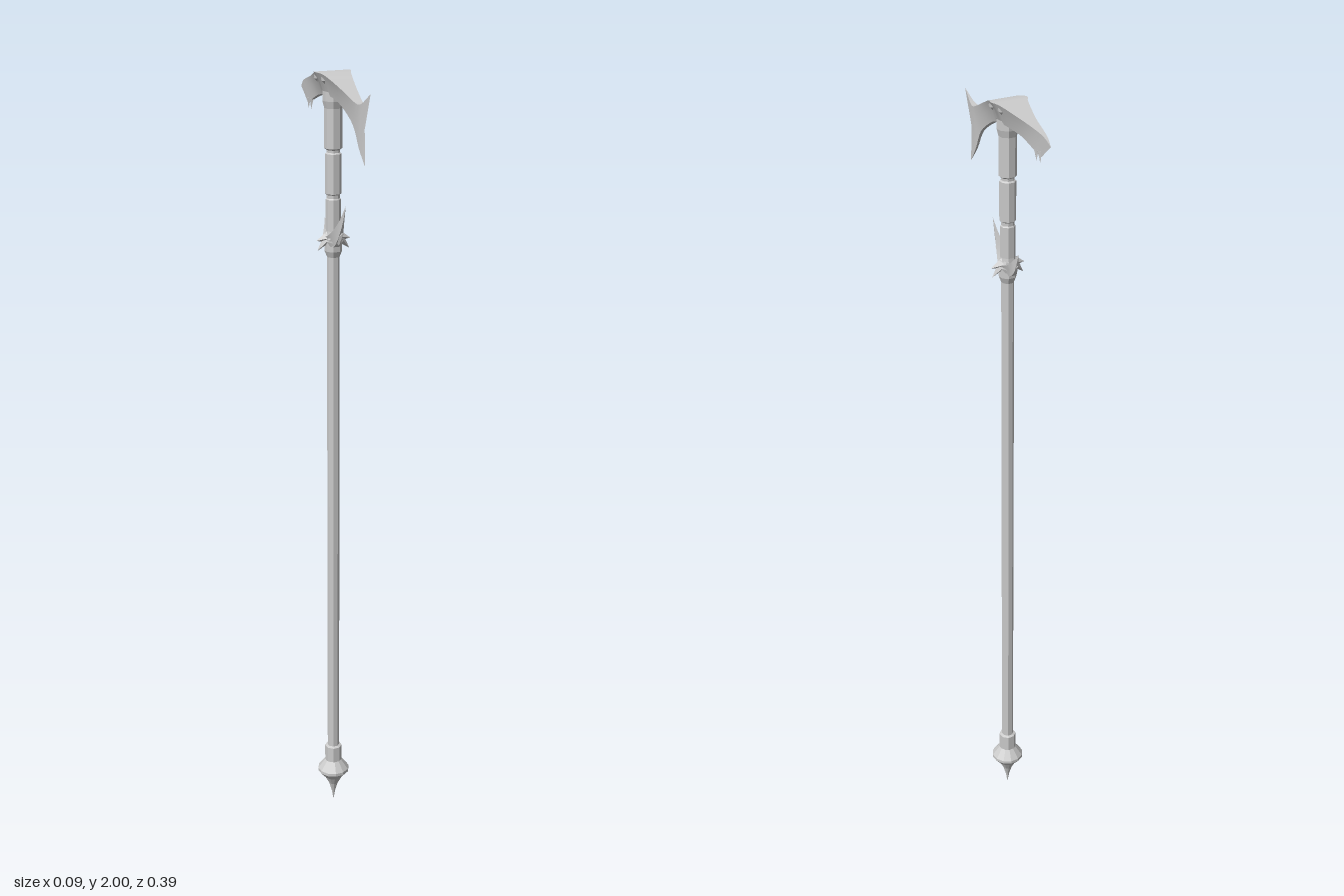
import * as THREE from 'three';
import { toCreasedNormals } from 'three/addons/utils/BufferGeometryUtils.js';

const flatMaterial = new THREE.MeshStandardMaterial({ color: 0xcccccc, flatShading: true, side: THREE.DoubleSide });
const smoothMaterial = new THREE.MeshStandardMaterial({ color: 0xcccccc, side: THREE.DoubleSide });
const AXIS_Z = -0.005; // the shaft stands slightly behind the middle of the head

function addMesh(parent, name, geometry, material = flatMaterial) {
  const mesh = new THREE.Mesh(geometry, material);
  mesh.name = name;
  parent.add(mesh);
  return mesh;
}

// Turned part from [flat-to-flat half width, height] pairs, bottom to top
function turned(points, sides = 8) {
  const k = 1 / Math.cos(Math.PI / sides);
  const profile = points.map(([r, y]) => new THREE.Vector2(r * k, y));
  return new THREE.LatheGeometry(profile, sides, Math.PI / sides).translate(0, 0, AXIS_Z);
}

// Four-sided spike from a base point to a tip, flattened across by the given factor
function spike(parent, name, base, tip, radius, flat = 1) {
  const from = new THREE.Vector3(...base), to = new THREE.Vector3(...tip);
  const dir = to.clone().sub(from);
  const geometry = new THREE.ConeGeometry(radius, dir.length(), 4);
  geometry.scale(flat, 1, 1);
  const mesh = addMesh(parent, name, geometry);
  mesh.position.copy(from).add(to).multiplyScalar(0.5);
  mesh.quaternion.setFromUnitVectors(new THREE.Vector3(0, 1, 0), dir.normalize());
}

// Smooth skin over sections running front to back: [topZ, topY, midZ, midY, bottomZ, bottomY, halfWidth]
function bladeGeometry(sections, steps) {
  const spline = new THREE.CubicInterpolant(sections.map((_, i) => i), sections.flat(), 7);
  const positions = [], index = [], n = 6, rows = (sections.length - 1) * steps;
  for (let s = 0; s <= rows; s++) {
    const [tz, ty, mz, my, bz, by, width] = spline.evaluate(s / steps);
    const w = Math.max(width, 0), wb = w * 0.42, wm = w * 0.66;
    positions.push(w, ty, tz, wm, my, mz, wb, by, bz, -wb, by, bz, -wm, my, mz, -w, ty, tz);
    if (s === rows) break;
    for (let i = 0; i < n; i++) {
      const a = s * n + i, b = s * n + (i + 1) % n;
      index.push(a, b, a + n, b, b + n, a + n);
    }
  }
  const geometry = new THREE.BufferGeometry();
  geometry.setAttribute('position', new THREE.Float32BufferAttribute(positions, 3));
  geometry.setIndex(index);
  return toCreasedNormals(geometry, 0.5);
}

export function createModel() {
  const model = new THREE.Group();
  model.name = 'poleWeapon';

  // Long shaft and pointed foot
  addMesh(model, 'shaft', turned([[0.0145, 0.13], [0.0145, 1.6]]));
  addMesh(model, 'footSpike', turned([
    [0, 0], [0.005, 0.03], [0.012, 0.055], [0.024, 0.078], [0.041, 0.098], [0.041, 0.106],
    [0.022, 0.132],
  ], 12));
  addMesh(model, 'footCollar', turned([[0.021, 0.13], [0.021, 0.175], [0.0145, 0.178]]));

  // Neck in three segments parted by grooves
  addMesh(model, 'neck', turned([
    [0.0145, 1.555], [0.02, 1.57], [0.02, 1.6], [0.017, 1.62], [0.017, 1.697], [0.015, 1.7],
    [0.015, 1.708], [0.0185, 1.711], [0.0185, 1.807], [0.015, 1.81], [0.015, 1.816],
    [0.02, 1.82], [0.02, 1.915], [0.024, 1.932], [0.024, 1.955],
  ]));

  // Guard: one sweeping claw from front to rear, barbs, and crossing bands with side claws
  const guard = new THREE.Group();
  guard.name = 'clawGuard';
  model.add(guard);
  addMesh(guard, 'sweepingClaw', bladeGeometry([
    [0.067, 1.694, 0.066, 1.692, 0.066, 1.69, 0],
    [0.045, 1.655, 0.047, 1.648, 0.05, 1.64, 0.006],
    [0.02, 1.622, 0.022, 1.607, 0.024, 1.592, 0.016],
    [-0.005, 1.605, -0.005, 1.59, -0.005, 1.573, 0.025],
    [-0.028, 1.608, -0.03, 1.595, -0.032, 1.58, 0.017],
    [-0.042, 1.622, -0.044, 1.612, -0.046, 1.6, 0.008],
    [-0.056, 1.642, -0.056, 1.641, -0.056, 1.64, 0],
  ], 3), smoothMaterial);
  spike(guard, 'frontBarb', [0, 1.6, 0.02], [0, 1.627, 0.056], 0.014, 0.6);
  spike(guard, 'rearBarb', [0, 1.59, -0.015], [0, 1.612, -0.057], 0.014, 0.6);
  for (const s of [-1, 1]) {
    const band = addMesh(guard, 'guardBand', new THREE.CylinderGeometry(0.024, 0.024, 0.018, 8, 1, true));
    band.position.set(0, 1.598, AXIS_Z);
    band.rotation.z = s * 0.35;
    spike(guard, 'upperSideClaw', [s * 0.012, 1.606, AXIS_Z], [s * 0.046, 1.598, AXIS_Z], 0.015);
    spike(guard, 'lowerSideClaw', [s * 0.012, 1.606, AXIS_Z], [s * 0.043, 1.573, AXIS_Z], 0.015);
  }

  // Two-ended head: flared blade in front, hooked beak behind
  const head = new THREE.Group();
  head.name = 'head';
  model.add(head);
  addMesh(head, 'headBlade', bladeGeometry([
    [0.198, 1.974, 0.168, 1.89, 0.172, 1.804, 0],
    [0.161, 1.947, 0.15, 1.9, 0.143, 1.842, 0.006],
    [0.135, 1.947, 0.125, 1.92, 0.114, 1.892, 0.0105],
    [0.077, 1.972, 0.068, 1.951, 0.06, 1.928, 0.021],
    [0.02, 1.995, 0.02, 1.972, 0.02, 1.943, 0.035],
    [-0.01, 2, -0.01, 1.975, -0.01, 1.947, 0.047],
    [-0.035, 1.996, -0.035, 1.97, -0.035, 1.944, 0.036],
    [-0.098, 1.979, -0.09, 1.958, -0.08, 1.935, 0.018],
    [-0.15, 1.966, -0.138, 1.943, -0.125, 1.918, 0.008],
    [-0.175, 1.957, -0.158, 1.934, -0.14, 1.911, 0.004],
    [-0.195, 1.942, -0.176, 1.926, -0.156, 1.908, 0],
  ], 4), smoothMaterial);
  for (const z of [-0.151, -0.135]) {
    spike(head, 'beakTooth', [0, 1.92, z + 0.004], [0, 1.893, z], 0.01, 0.5);
  }

  // Low diamonds on the flared side faces
  for (const s of [-1, 1]) {
    for (const z of [-0.03, 0.012]) {
      const stud = addMesh(head, 'sideStud', new THREE.OctahedronGeometry(0.01));
      stud.scale.set(0.35, 1, 1.2);
      stud.position.set(s * 0.034, 1.983, z);
      stud.rotation.z = -s * 0.45;
    }
  }
  return model;
}
